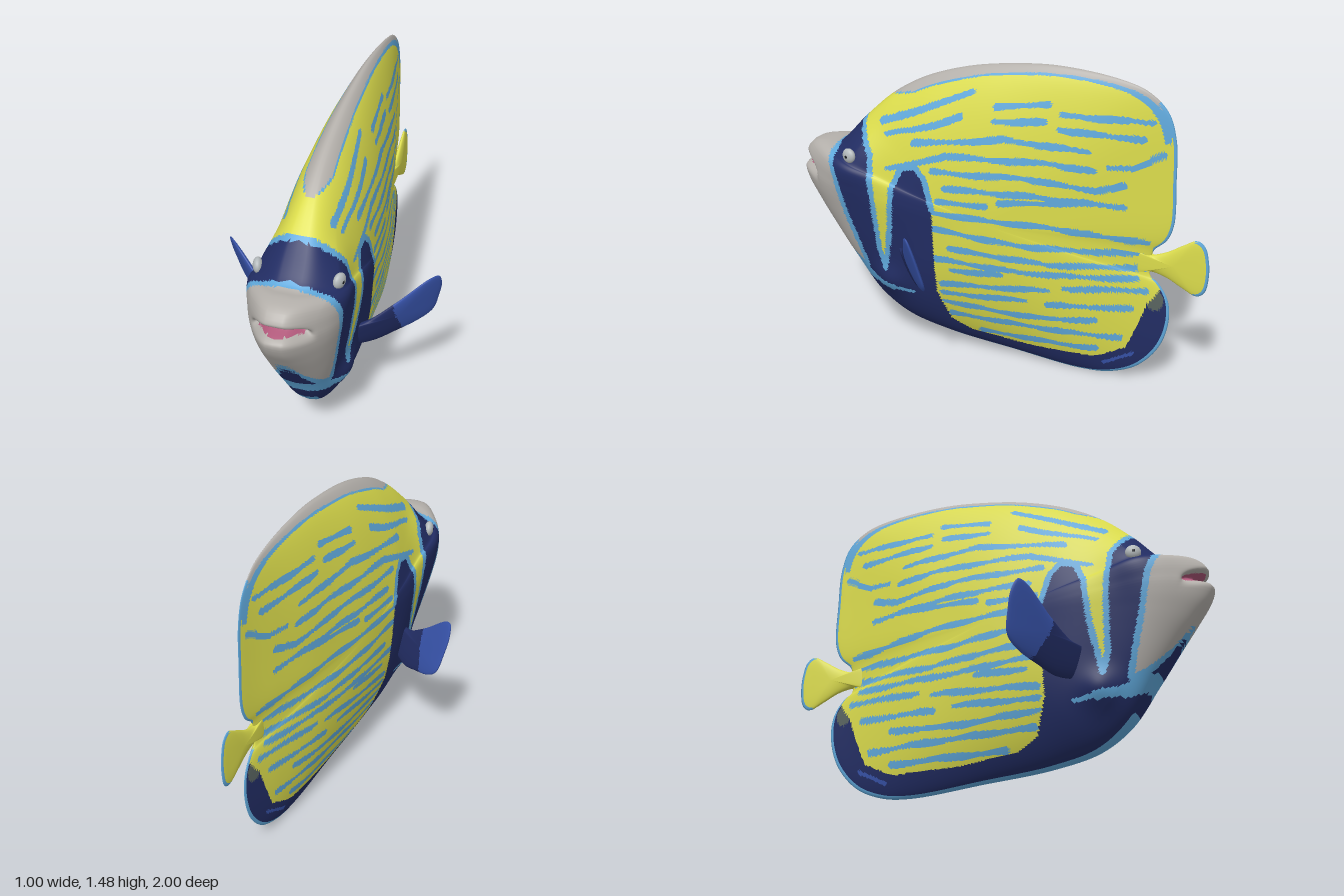
import * as THREE from 'three';

const mat = (name, color) => Object.assign(new THREE.MeshStandardMaterial({ color }), { name });
const smooth = THREE.MathUtils.smoothstep;
const bump = (u, v, cu, cv, s) => Math.exp(-((u - cu) ** 2 + (v - cv) ** 2) / (s * s));

// Colour slots used by the paint rules
const YELLOW = 0, SKY = 1, NAVY = 2, GREY = 3, BLUE = 4, PINK = 5, SLATE = 6;

const pairs = (a) => {
  const out = [];
  for (let i = 0; i < a.length; i += 2) out.push([a[i], a[i + 1]]);
  return out;
};

function inside(u, v, poly) {
  let hit = false;
  for (let i = 0, j = poly.length - 1; i < poly.length; j = i++) {
    const [a, b] = poly[i], [c, d] = poly[j];
    if ((b > v) !== (d > v) && u < ((c - a) * (v - b)) / (d - b) + a) hit = !hit;
  }
  return hit;
}

function distTo(u, v, line) {
  let best = 9;
  for (let i = 0; i + 1 < line.length; i++) {
    const [a, b] = line[i], dx = line[i + 1][0] - a, dy = line[i + 1][1] - b;
    const t = THREE.MathUtils.clamp(((u - a) * dx + (v - b) * dy) / (dx * dx + dy * dy), 0, 1);
    best = Math.min(best, Math.hypot(u - a - t * dx, v - b - t * dy));
  }
  return best;
}

// Closed, two-sided swelling form: rings shrink from an outline to its centre,
// width() gives the half thickness, place() maps to space, paint() picks a colour slot.
function swell({ outline, centre, n, rings, width, place, paint, flip, refine }, mats) {
  const curve = new THREE.CatmullRomCurve3(pairs(outline).map(([u, v]) => new THREE.Vector3(u, v, 0)), true);
  const base = curve.getSpacedPoints(n).slice(0, n), rim = [];
  base.forEach((p, i) => {
    const q = base[(i + 1) % n], cuts = refine && refine(p) ? 3 : 1;
    for (let c = 0; c < cuts; c++) rim.push(p.clone().lerp(q, c / cuts));
  });
  const N = rim.length, pos = [], raw = [], slots = mats.map(() => []);
  const sideSize = N * (rings + 1);
  for (const side of [1, -1]) {
    for (let k = 0; k <= rings; k++) {
      const s = k / rings, r = 0.5 * s + 0.5 * Math.sin((s * Math.PI) / 2);
      for (const p of rim) {
        const u = centre[0] + r * (p.x - centre[0]), v = centre[1] + r * (p.y - centre[1]);
        const w = k === rings ? 0 : side * width(u, v, r);
        raw.push([u, v, w, r]);
        pos.push(...place(u, v, w, r));
      }
    }
  }
  const id = (s, k, i) => (k === rings ? 0 : s * sideSize) + k * N + (i % N);
  const add = (a, b, c, turn) => {
    const m = [0, 1, 2, 3].map((j) => (raw[a][j] + raw[b][j] + raw[c][j]) / 3);
    slots[paint(...m)].push(a, turn ? c : b, turn ? b : c);
  };
  for (let s = 0; s < 2; s++) for (let k = 0; k < rings; k++) for (let i = 0; i < N; i++) {
    const a = id(s, k, i), b = id(s, k + 1, i), c = id(s, k + 1, i + 1), d = id(s, k, i + 1);
    const turn = (s === 1) !== flip;
    add(a, b, c, turn);
    if (k > 0) add(a, c, d, turn);
  }
  const geo = new THREE.BufferGeometry();
  geo.setAttribute('position', new THREE.Float32BufferAttribute(pos, 3));
  geo.setIndex(slots.flat());
  const used = [];
  let start = 0;
  slots.forEach((list, i) => {
    if (!list.length) return;
    geo.addGroup(start, list.length, used.length);
    used.push(mats[i]);
    start += list.length;
  });
  geo.computeVertexNormals();
  return new THREE.Mesh(geo, used);
}

// Side outline of the body as z, y
const bodyOutline = [1, .84, .995, .88, .98, .93, .935, .975, .865, .99, .8, .99, .65, 1.14, .515, 1.26, .355, 1.355,
  .14, 1.43, -.08, 1.47, -.29, 1.485, -.56, 1.46, -.69, 1.42, -.78, 1.34, -.82, 1.22, -.83, 1.03, -.83, .82, -.8, .74,
  -.745, .685, -.73, .62, -.735, .555, -.77, .53, -.82, .45, -.83, .34, -.79, .2, -.69, .08, -.56, .02, -.42, .005,
  -.08, .035, .25, .07, .46, .125, .6, .23, .73, .42, .84, .58, .92, .69, .98, .78];

// Half thickness along z, from nose to tail
const girth = new THREE.SplineCurve([.2, .265, .25, .235, .2, .175, .145, .118, .08, .04, .03]
  .map((w, i) => new THREE.Vector2(1 - i * 0.2, w)));
const bodyWidth = (z, y, r) => {
  const power = THREE.MathUtils.lerp(0.62, 0.39, smooth(z, 0.35, 0.75));
  const fade = Math.min(1, (1 - r) * 8);
  return girth.getPoint(THREE.MathUtils.clamp((1 - z) / 2, 0, 1)).y * Math.pow(Math.max(0, 1 - r * r), power)
    + fade * (0.035 * bump(z, y, 0.66, 0.97, 0.13) + 0.03 * bump(z, y, 0.5, 0.36, 0.08));
};
const mouthLine = (w) => 0.885 - 2.6 * w * w;

// Dark head band, gill band, belly and lower fin
const navyArea = pairs([.66, 1.3, .65, 1.15, .57, 1, .55, .79, .54, .52, .515, .43, .47, .66, .45, .87, .41, .96, .34, .98,
  .29, .925, .25, .79, .25, .35, .2, .19, .1, .14, -.18, .11, -.5, .11, -.64, .18, -.69, .3, -.73, .42, -.79, .5,
  -.9, .5, -.9, -.1, .8, -.1, .8, .3, .63, .38, .65, .5, .7, .68, .74, .87, .8, 1, .82, 1.3]);
// Pale lines: half width, then z, y points
const trims = [
  [.014, .66, 1.15, .57, 1, .55, .79, .54, .52, .515, .43, .47, .66, .45, .87, .41, .96, .34, .98, .29, .925, .25, .79],
  [.014, .8, 1.02, .74, .87, .7, .68, .65, .5, .63, .4],
  [.028, .74, .41, .6, .35], [.02, .6, .35, .48, .33], [.01, .48, .33, .38, .32],
].map(([w, ...p]) => ({ w, line: pairs(p) }));
const stripes = [
  [.53, 1.15, .35, 1.22, .09, 1.34], [.5, 1.1, .25, 1.18, .14, 1.23], [-.03, 1.29, -.26, 1.33], [-.33, 1.29, -.72, 1.29],
  [-.02, 1.23, -.25, 1.25], [-.32, 1.225, -.68, 1.21], [.35, 1.085, -.07, 1.155, -.45, 1.14], [-.54, 1.07, -.65, 1.08, -.77, 1.15],
  [.48, .95, .19, 1.05, -.29, 1.07, -.48, 1.05], [.25, .97, -.18, .99, -.5, .96, -.61, .99], [.19, .9, -.18, .91, -.61, .89],
  [.22, .83, 0, .84], [-.07, .86, -.45, .9], [.25, .775, -.29, .765, -.72, .72], [.25, .695, -.18, .66, -.69, .66],
  [.17, .605, -.29, .58, -.71, .595], [.25, .54, -.18, .525, -.68, .54], [.17, .487, -.07, .497], [.22, .405, -.29, .445],
  [-.36, .465, -.72, .487], [.22, .35, -.18, .375], [-.29, .37, -.66, .39], [.22, .3, -.18, .285, -.5, .31],
  [.19, .23, -.61, .23], [.05, .15, -.5, .155],
].map(pairs);
const finStreak = pairs([-.54, .08, -.67, .15]);

function paintBody(z, y, x, r) {
  const ax = Math.abs(x);
  if (z > 0.86 && ax < 0.1 && Math.abs(y - mouthLine(x)) < 0.026 - 0.12 * ax) return PINK;
  if (trims.some((t) => distTo(z, y, t.line) < t.w)) return SKY;
  // Throat wedge between the cheeks
  if (z > 0.5 && y < 0.69 && !inside(z, y, navyArea)) {
    if (ax < (0.64 - y) * 0.4) return NAVY;
    if (ax < (0.69 - y) * 0.45) return SKY;
  }
  if (r > 0.985 && (z < -0.74 || y < 0.27)) return SKY;
  if (inside(z, y, navyArea)) {
    if (Math.hypot((z + 0.765) * 1.3, y - 0.44) < 0.05) return SLATE;
    return distTo(z, y, finStreak) < 0.009 ? BLUE : NAVY;
  }
  if (z > 0.66 || (z > 0.6 && y < 0.6)) return GREY;
  // Pale crest along the back
  if (y > 1.2 && z < 0.52 && z > -0.8) {
    const g = (0.04 + 0.045 * z) * Math.sqrt(Math.min(1, (0.52 - z) * 8));
    if (ax < g) return GREY;
    if (ax < g + 0.006) return SKY;
  }
  const w = 0.0145 + 0.004 * Math.sin(z * 23 + y * 40);
  return stripes.some((s) => distTo(z, y, s) < w) ? SKY : YELLOW;
}

export function createModel() {
  const fish = new THREE.Group();
  fish.name = 'fish';
  const mats = [mat('yellow', 0xdbdc4c), mat('skyBlue', 0x60a9dc), mat('navy', 0x222d64), mat('paleGrey', 0xb4b0ab),
    mat('finBlue', 0x3854ac), mat('mouthPink', 0xb0587a), mat('slate', 0x58635f)];
  const silver = mat('eyeSilver', 0xb4babc), black = mat('pupilBlack', 0x1c1e22);

  // Body with the mouth pressed into the snout
  const body = swell({
    outline: bodyOutline, centre: [0, 0.75], n: 300, rings: 95, flip: true, width: bodyWidth, paint: paintBody,
    refine: (p) => p.x > 0.9 && p.y > 0.8 && p.y < 0.96,
    place: (z, y, x, r) => {
      const dent = z > 0.75 ? 0.085 * Math.exp(-(((y - mouthLine(x)) / 0.024) ** 2)) * smooth(r, 0.86, 0.97) : 0;
      return [x, y, z - dent];
    },
  }, mats);
  body.name = 'body';
  fish.add(body);

  // Tail fin
  const tail = swell({
    outline: [-.62, .56, -.62, .68, -.72, .66, -.8, .685, -.88, .735, -.94, .767, -.975, .745, -.995, .68, -1, .6,
      -.985, .52, -.95, .495, -.88, .525, -.8, .565, -.72, .58],
    centre: [-.84, .63], n: 64, rings: 14, flip: true,
    width: (z, y, r) => (0.012 + 0.05 * Math.max(0, z + 0.95)) * Math.sqrt(Math.max(0, 1 - r * r)),
    place: (z, y, x) => [x, y, z],
    paint: (z, y, x, r) => (r > 0.93 && z < -0.93 ? SKY : YELLOW),
  }, mats);
  tail.name = 'tailFin';
  fish.add(tail);

  // Nearest body surface to a side position, for seating the eyes
  const p = body.geometry.attributes.position;
  let eyeX = 0, near = 9;
  for (let i = 0; i < p.count; i++) {
    const d = Math.hypot(p.getZ(i) - 0.675, p.getY(i) - 0.98);
    if (p.getX(i) > 0 && d < near) { near = d; eyeX = p.getX(i); }
  }

  for (const [side, label] of [[1, 'left'], [-1, 'right']]) {
    // Side fin, swept out, up and back
    const fin = swell({
      outline: [.14, .43, .22, .41, .31, .44, .4, .48, .455, .53, .485, .63, .5, .72, .49, .77, .46, .762, .33, .65, .22, .57, .14, .54],
      centre: [.34, .57], n: 72, rings: 14, flip: side < 0,
      width: (u, v, r) => (0.034 - 0.03 * u) * Math.sqrt(Math.max(0, 1 - r * r)),
      place: (u, v, w) => [side * u, v, 0.36 - 0.85 * u + 0.38 * v + w],
      paint: (u, v) => (u + 0.15 * (v - 0.5) < 0.335 ? NAVY : BLUE),
    }, mats);
    fin.name = label + 'SideFin';
    fish.add(fin);

    // Eye and pupil
    const eye = new THREE.Group();
    eye.name = label + 'Eye';
    const ball = new THREE.Mesh(new THREE.SphereGeometry(0.036, 24, 16), silver);
    ball.name = 'eyeball';
    ball.scale.x = 0.6;
    const pupil = new THREE.Mesh(new THREE.SphereGeometry(0.014, 16, 10), black);
    pupil.name = 'pupil';
    pupil.position.x = side * 0.014;
    pupil.scale.x = 0.6;
    eye.add(ball, pupil);
    eye.position.set(side * (eyeX + 0.002), 0.98, 0.675);
    eye.rotation.y = -side * 0.3;
    fish.add(eye);
  }
  return fish;
}
